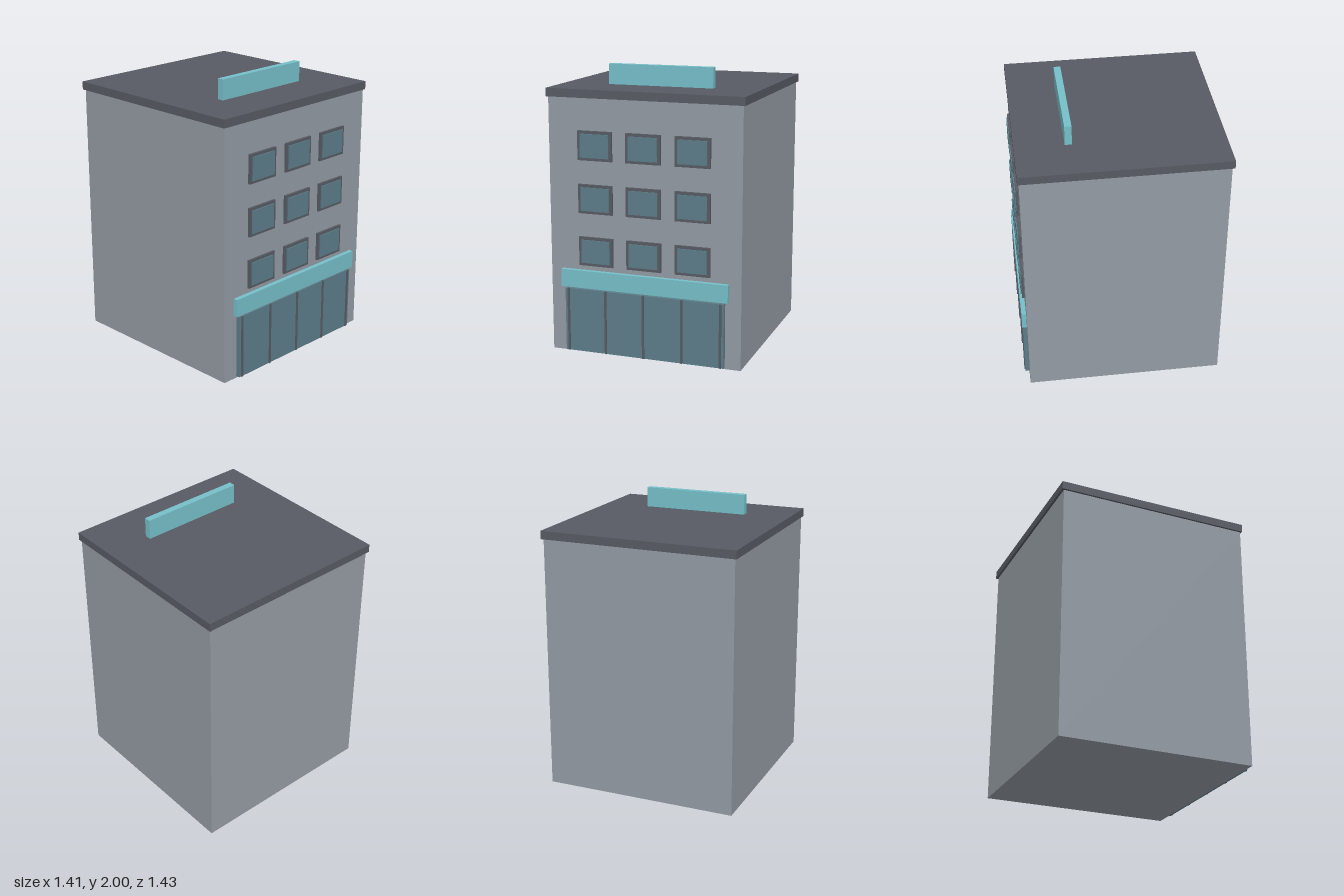
import * as THREE from 'three';

const material = (name, color) => {
  const m = new THREE.MeshStandardMaterial({ color });
  m.name = name;
  return m;
};

export function createModel() {
  const wall = material('wallGrey', 0x949ba3);
  const trim = material('darkTrim', 0x575b63);
  const glass = material('windowGlass', 0x5c7d89);
  const accent = material('turquoise', 0x76bfc9);

  const model = new THREE.Group();
  model.name = 'officeBuilding';

  // Box given by its extents along each axis
  const box = (name, mat, [x0, x1], [y0, y1], [z0, z1], parent = model) => {
    const mesh = new THREE.Mesh(new THREE.BoxGeometry(x1 - x0, y1 - y0, z1 - z0), mat);
    mesh.position.set((x0 + x1) / 2, (y0 + y1) / 2, (z0 + z1) / 2);
    mesh.name = name;
    parent.add(mesh);
    return mesh;
  };

  const front = 0.682; // plane of the front wall

  // Main block, roof slab and rooftop sign board
  box('body', wall, [-0.692, 0.692], [0, 1.8], [-0.702, front]);
  box('roofSlab', trim, [-0.706, 0.706], [1.8, 1.858], [-0.717, 0.692]);
  box('roofSign', accent, [-0.38, 0.38], [1.858, 2], [0.308, 0.356]);

  // Three rows of three windows, each a pane on a frame
  for (const y of [0.737, 1.107, 1.477]) {
    for (const x of [-0.35, 0, 0.35]) {
      const win = new THREE.Group();
      win.name = 'window';
      win.position.set(x, y, 0);
      box('windowFrame', trim, [-0.125, 0.125], [-0.102, 0.102], [front - 0.005, 0.698], win);
      box('windowPane', glass, [-0.104, 0.104], [-0.082, 0.082], [0.69, 0.706], win);
      model.add(win);
    }
  }

  // Fascia above the shop front
  box('shopFascia', accent, [-0.607, 0.607], [0.475, 0.6], [front - 0.005, 0.715]);

  // Shop front glazing with mullions
  const shop = new THREE.Group();
  shop.name = 'shopFront';
  box('shopGlass', glass, [-0.58, 0.58], [0.012, 0.464], [front - 0.005, 0.711], shop);
  for (const x of [-0.555, -0.278, 0, 0.278, 0.555]) {
    box('mullion', trim, [x - 0.008, x + 0.008], [0.012, 0.464], [0.7, 0.717], shop);
  }
  model.add(shop);

  return model;
}
